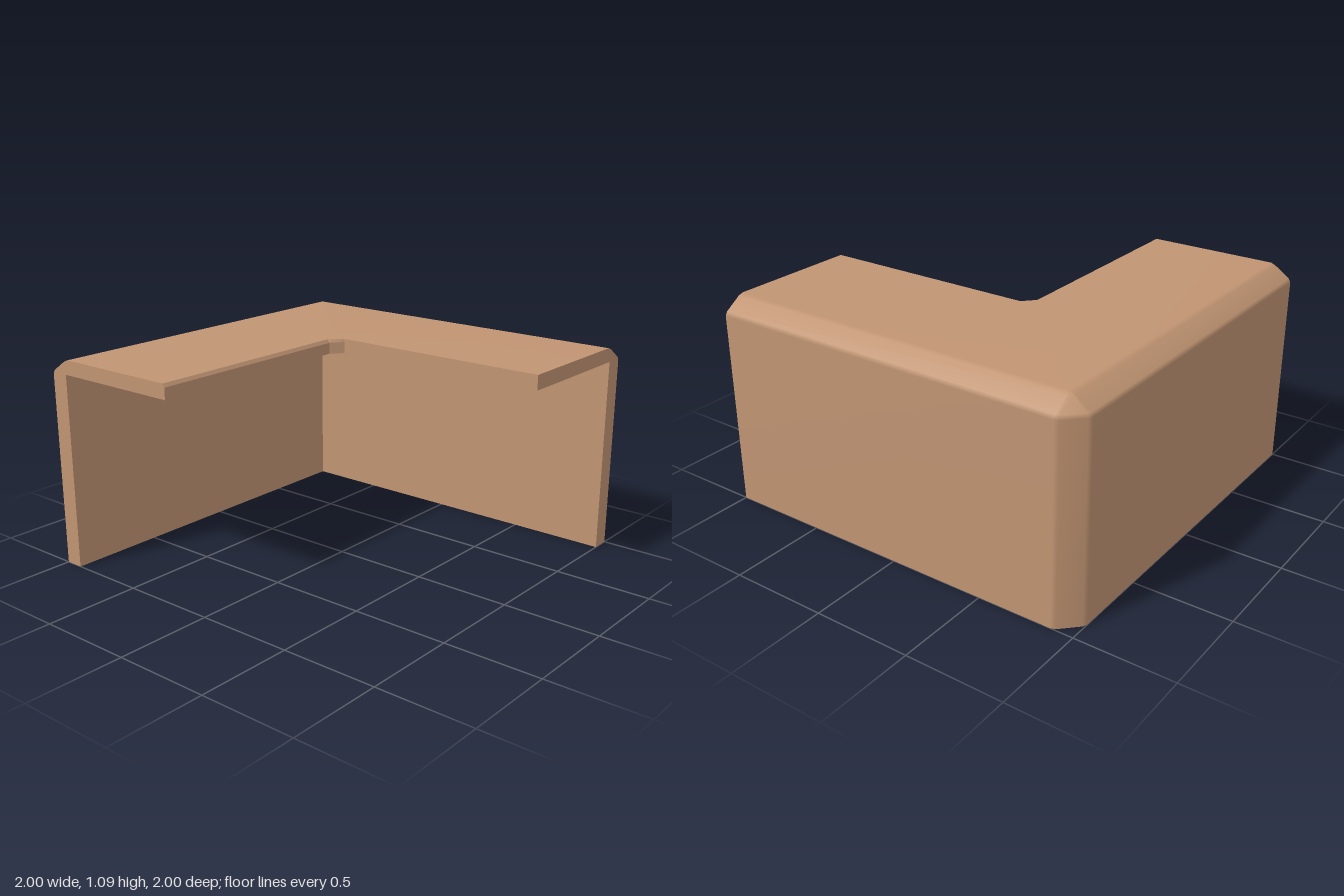
import * as THREE from 'three';

// Each ring is a path of six points: left end, four corner points, right end.
const BEVEL = 0.115;
const CORNER = [[0, 1], [0.2, 0.92], [0.92, 0.2], [1, 0]];

// Outer path, inset by d from the back and side faces, with a cut corner that shrinks to a point
function outerRing(d, y) {
  const s = BEVEL - d, k = 1 - BEVEL;
  return [
    [-1, y, -1 + d],
    ...CORNER.map(([a, b]) => [k + s * a, y, -k - s * b]),
    [1 - d, y, 1],
  ];
}

// Inner path whose corner runs straight from (x0, z0) to (x1, z1)
function innerRing(x0, z0, x1, z1, y) {
  const corner = [0, 1 / 3, 2 / 3, 1].map((t) => [x0 + (x1 - x0) * t, y, z0 + (z1 - z0) * t]);
  return [[-1, y, z0], ...corner, [x1, y, 1]];
}

// Skin stretched over consecutive rings
function loft(rings, smooth) {
  const n = rings[0].length;
  const index = [];
  for (let r = 0; r < rings.length - 1; r++) {
    for (let c = 0; c < n - 1; c++) {
      const a = r * n + c, b = a + n;
      index.push(a, b, a + 1, a + 1, b, b + 1);
    }
  }
  let geo = new THREE.BufferGeometry();
  geo.setAttribute('position', new THREE.Float32BufferAttribute(rings.flat(2), 3));
  geo.setIndex(index);
  if (!smooth) geo = geo.toNonIndexed();
  geo.computeVertexNormals();
  return geo;
}

export function createModel() {
  const group = new THREE.Group();
  group.name = 'cornerCounter';
  const wood = new THREE.MeshStandardMaterial({ color: 0xc09472 });
  wood.name = 'tan wood';

  const add = (name, geo) => {
    const mesh = new THREE.Mesh(geo, wood);
    mesh.name = name;
    group.add(mesh);
    return mesh;
  };

  // Outside walls, softened bevel and top surface
  const outer = [
    outerRing(0, 0),
    outerRing(0, 1.0),
    outerRing(0.01, 1.02),
    outerRing(0.09, 1.075),
    outerRing(BEVEL, 1.085),
    innerRing(0.14, -0.212, 0.2, -0.155, 1.085),
  ];
  // Front rim, underside of the top, inside walls and feet
  const inner = [
    outer[outer.length - 1],
    innerRing(0.14, -0.2, 0.2, -0.15, 1.068),
    innerRing(0.14, -0.2, 0.2, -0.15, 1.01),
    innerRing(0.905, -0.905, 0.905, -0.905, 1.01),
    innerRing(0.905, -0.905, 0.905, -0.905, 0),
    outer[0],
  ];
  add('outerShell', loft(outer, true));
  add('innerShell', loft(inner, false));

  // Cut ends of the two arms
  const section = [...outer, ...inner.slice(1, -1)];
  const endCap = (col, axis) => new THREE.ShapeGeometry(
    new THREE.Shape(section.map((ring) => new THREE.Vector2(ring[col][axis], ring[col][1]))));
  add('rightArmEnd', endCap(0, 2).rotateY(-Math.PI / 2).translate(-1, 0, 0));
  add('leftArmEnd', endCap(5, 0).translate(0, 0, 1));

  return group;
}
